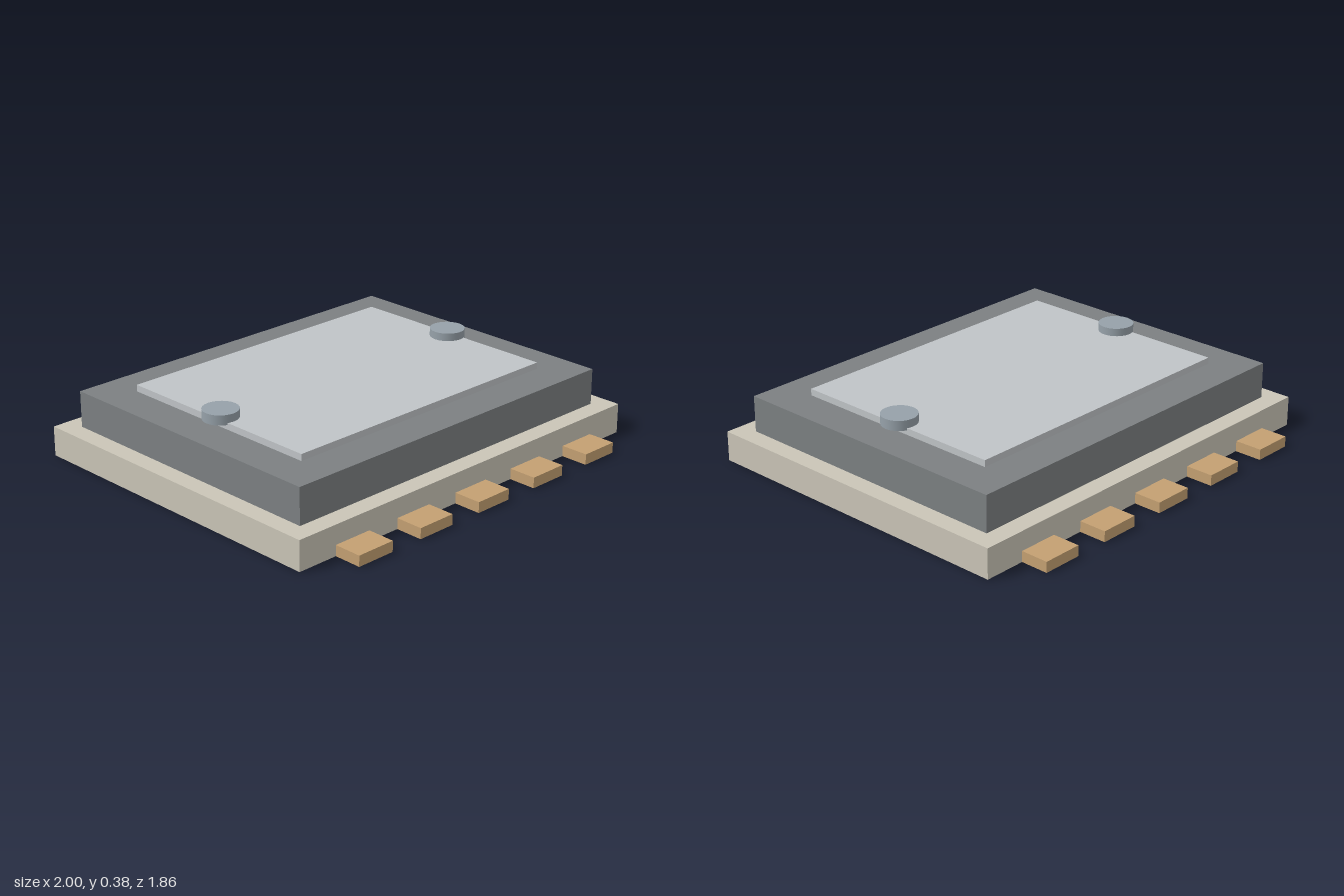
import * as THREE from 'three';

const paint = (name, color) => {
  const m = new THREE.MeshStandardMaterial({ color });
  m.name = name;
  return m;
};

export function createModel() {
  const group = new THREE.Group();
  const ceramic = paint('ceramicCream', 0xcac5b7);
  const darkMetal = paint('darkGrey', 0x7c8082);
  const lidMetal = paint('lightGrey', 0xc0c4c7);
  const gold = paint('goldTan', 0xc4a072);
  const steel = paint('blueGrey', 0x96a1a9);

  const add = (name, geometry, material, x, y, z) => {
    const mesh = new THREE.Mesh(geometry, material);
    mesh.name = name;
    mesh.position.set(x, y, z);
    group.add(mesh);
  };
  // Box centred on x and z, given by its bottom and top heights
  const slab = (name, w, d, y0, y1, material, x = 0, z = 0) =>
    add(name, new THREE.BoxGeometry(w, y1 - y0, d), material, x, (y0 + y1) / 2, z);

  // Stacked package: base, frame and lid
  slab('base', 2, 1.59, 0, 0.14, ceramic);
  slab('frame', 1.824, 1.41, 0.14, 0.31, darkMetal);
  slab('lid', 1.468, 1.055, 0.31, 0.341, lidMetal);

  // Five contact pads along the front and back edges
  for (const side of [-1, 1]) {
    for (let i = -2; i <= 2; i++) {
      slab('contactPad', 0.19, 0.133, 0, 0.05, gold, i * 0.353, side * 0.861);
    }
  }

  // Round studs on the left and right edges of the lid
  for (const side of [-1, 1]) {
    add('stud', new THREE.CylinderGeometry(0.082, 0.082, 0.046, 24), steel, side * 0.705, 0.355, 0);
  }
  return group;
}
